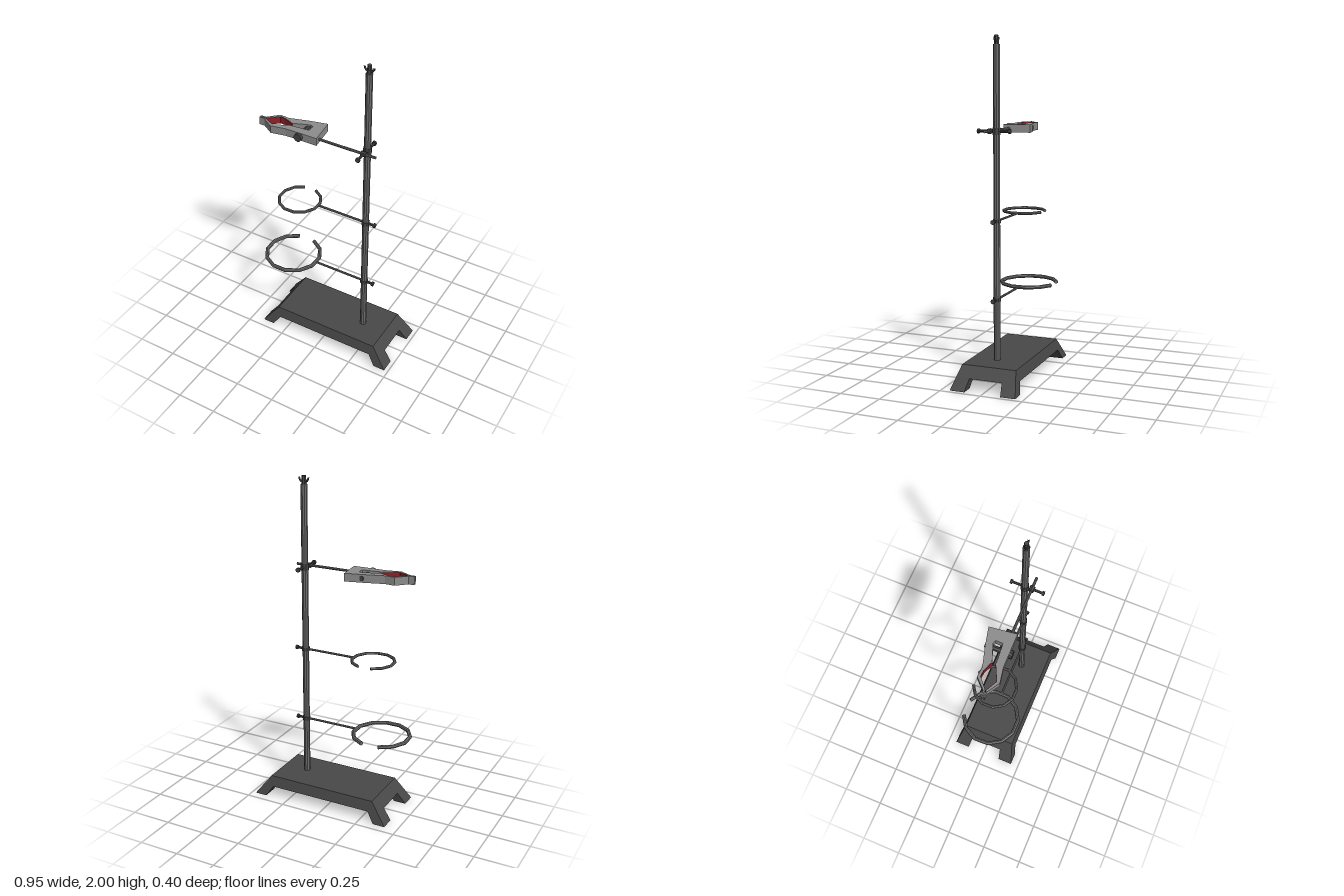
import * as THREE from 'three';

const mat = (color) => new THREE.MeshStandardMaterial({ color, flatShading: true });
const baseMat = mat(0x484848), steel = mat(0x6c6c6c), dark = mat(0x444444), jawMat = mat(0x8c8c8c), red = mat(0x8a2026);
const POLE_X = 0.22, POLE_Z = 0.013;

export function createModel() {
  const root = new THREE.Group();

  function add(name, geometry, material, parent = root) {
    const mesh = new THREE.Mesh(geometry, material);
    mesh.name = name;
    parent.add(mesh);
    return mesh;
  }

  // Straight round bar between two points
  function rod(name, a, b, r, material = steel, sides = 8, parent = root) {
    const from = new THREE.Vector3(...a), to = new THREE.Vector3(...b);
    const dir = to.clone().sub(from);
    const mesh = add(name, new THREE.CylinderGeometry(r, r, dir.length(), sides), material, parent);
    mesh.position.copy(from).add(to).multiplyScalar(0.5);
    mesh.quaternion.setFromUnitVectors(new THREE.Vector3(0, 1, 0), dir.normalize());
    return mesh;
  }

  // Box whose top and bottom rectangles [x0, x1, z0, z1] differ
  function taperedBox(yTop, top, yBottom, bottom) {
    const g = new THREE.BoxGeometry(1, 1, 1), p = g.attributes.position;
    for (let i = 0; i < p.count; i++) {
      const up = p.getY(i) > 0, r = up ? top : bottom;
      p.setXYZ(i, p.getX(i) > 0 ? r[1] : r[0], up ? yTop : yBottom, p.getZ(i) > 0 ? r[3] : r[2]);
    }
    g.computeVertexNormals();
    return g;
  }

  // Base slab with four splayed feet
  const base = new THREE.Group();
  base.name = 'base';
  base.position.x = 0.0275;
  root.add(base);
  add('baseSlab', taperedBox(0.13, [-0.348, 0.348, -0.166, 0.166], 0.065, [-0.398, 0.398, -0.183, 0.183]), baseMat, base);
  for (const sx of [-1, 1]) for (const sz of [-1, 1]) {
    const rect = (x0, x1, z0, z1) => [
      Math.min(sx * x0, sx * x1), Math.max(sx * x0, sx * x1),
      Math.min(sz * z0, sz * z1), Math.max(sz * z0, sz * z1)];
    add('foot', taperedBox(0.065, rect(0.328, 0.398, 0.1, 0.183), 0, rect(0.372, 0.4475, 0.11, 0.2)), baseMat, base);
  }

  // Pole with collar, knob and wing at the top
  rod('pole', [POLE_X, 0.12, POLE_Z], [POLE_X, 1.95, POLE_Z], 0.02, steel, 10);
  rod('poleNeck', [POLE_X, 1.95, POLE_Z], [POLE_X, 1.975, POLE_Z], 0.015, dark);
  rod('poleKnob', [POLE_X, 1.975, POLE_Z], [POLE_X, 2, POLE_Z], 0.013, dark);
  const wing = add('poleWing', new THREE.TorusGeometry(0.03, 0.006, 6, 8, Math.PI), dark);
  wing.rotation.z = Math.PI;
  wing.position.set(POLE_X, 1.99, POLE_Z);

  // Thumbscrew: shank and wider head at its outer end
  function thumbscrew(origin, dir, length) {
    const at = (t) => origin.map((v, i) => v + dir[i] * t);
    rod('screwShank', at(0), at(length), 0.008, dark);
    rod('screwHead', at(length - 0.012), at(length), 0.014, dark);
  }

  // Open support rings on arms
  function supportRing(y, cx, cz, radius, tube) {
    const gap = Math.PI * 0.1, segments = 11, path = new THREE.CurvePath();
    const points = [];
    for (let i = 0; i <= segments; i++) {
      const a = gap + (2 * Math.PI - 2 * gap) * i / segments;
      points.push(new THREE.Vector3(cx + radius * Math.sin(a), y, cz - radius * Math.cos(a)));
    }
    for (let i = 0; i < segments; i++) path.add(new THREE.LineCurve3(points[i], points[i + 1]));
    add('supportRing', new THREE.TubeGeometry(path, segments * 4, tube, 8), steel);
    for (const end of [0, segments]) {
      const inner = points[end ? segments - 1 : 1];
      const edge = points[end], back = edge.clone().lerp(inner, 0.05);
      rod('ringEnd', back.toArray(), edge.toArray(), tube);
    }
    rod('ringArm', [cx + radius * 0.97, y, POLE_Z], [POLE_X, y, POLE_Z], 0.007);
    rod('ringCollar', [POLE_X, y - 0.011, POLE_Z], [POLE_X, y + 0.011, POLE_Z], 0.025, dark);
    thumbscrew([POLE_X + 0.015, y, POLE_Z], [1, 0, 0], 0.05);
  }
  supportRing(0.49, -0.295, 0.01, 0.172, 0.012);
  supportRing(0.95, -0.23, 0.018, 0.128, 0.009);

  // Clamp jaws, outlined in plan as [x, z]
  const CY = 1.463, H = 0.048;
  function slab(name, outline, height, material) {
    const shape = new THREE.Shape(outline.map(([x, z]) => new THREE.Vector2(x, -z)));
    const g = new THREE.ExtrudeGeometry(shape, { depth: height, bevelEnabled: false });
    g.rotateX(-Math.PI / 2);
    g.translate(0, CY - height / 2, 0);
    return add(name, g, material);
  }
  const innerBack = [[-0.425, 0.048], [-0.362, -0.006], [-0.325, -0.002], [-0.265, 0.022]];
  const innerFront = [[-0.265, 0.045], [-0.3, 0.062], [-0.357, 0.09], [-0.425, 0.055]];
  slab('clampJaws', [
    [-0.465, 0.041], [-0.43, 0.04], [-0.372, -0.02], [-0.312, -0.015], [-0.2, -0.048],
    [-0.085, -0.075], [-0.065, 0.088], [-0.17, 0.088], [-0.27, 0.09], [-0.36, 0.107],
    [-0.43, 0.062], [-0.465, 0.062], [-0.465, 0.055],
    ...[...innerFront].reverse(), [-0.2, 0.04], [-0.145, 0.035], [-0.145, -0.008], [-0.165, -0.015],
    ...[...innerBack].reverse(), [-0.465, 0.048],
  ], H, jawMat);

  // Red linings inside the jaw tips
  const lining = (pts, dz) => slab('jawLining', [...pts, ...pts.map(([x, z]) => [x, z + dz]).reverse()], H - 0.004, red);
  lining(innerBack, 0.003);
  lining(innerFront, -0.003);

  // Jaw bolt with a head at the front
  rod('jawBolt', [-0.18, CY, -0.055], [-0.18, CY, 0.09], 0.016, dark);
  rod('jawBoltHead', [-0.18, CY, 0.086], [-0.18, CY, 0.107], 0.025, dark, 10);

  // Clamp rod and the boss joining it to the pole
  rod('clampRod', [-0.08, CY, 0.055], [0.295, CY, 0.055], 0.008);
  rod('bossCollar', [POLE_X, CY - 0.02, POLE_Z], [POLE_X, CY + 0.02, POLE_Z], 0.025, dark);
  rod('rodCollar', [POLE_X - 0.016, CY, 0.055], [POLE_X + 0.016, CY, 0.055], 0.016, dark);
  thumbscrew([POLE_X, CY, 0.06], [0, 0, 1], 0.07);
  thumbscrew([POLE_X, CY, 0], [0, 0, -1], 0.073);
  return root;
}
